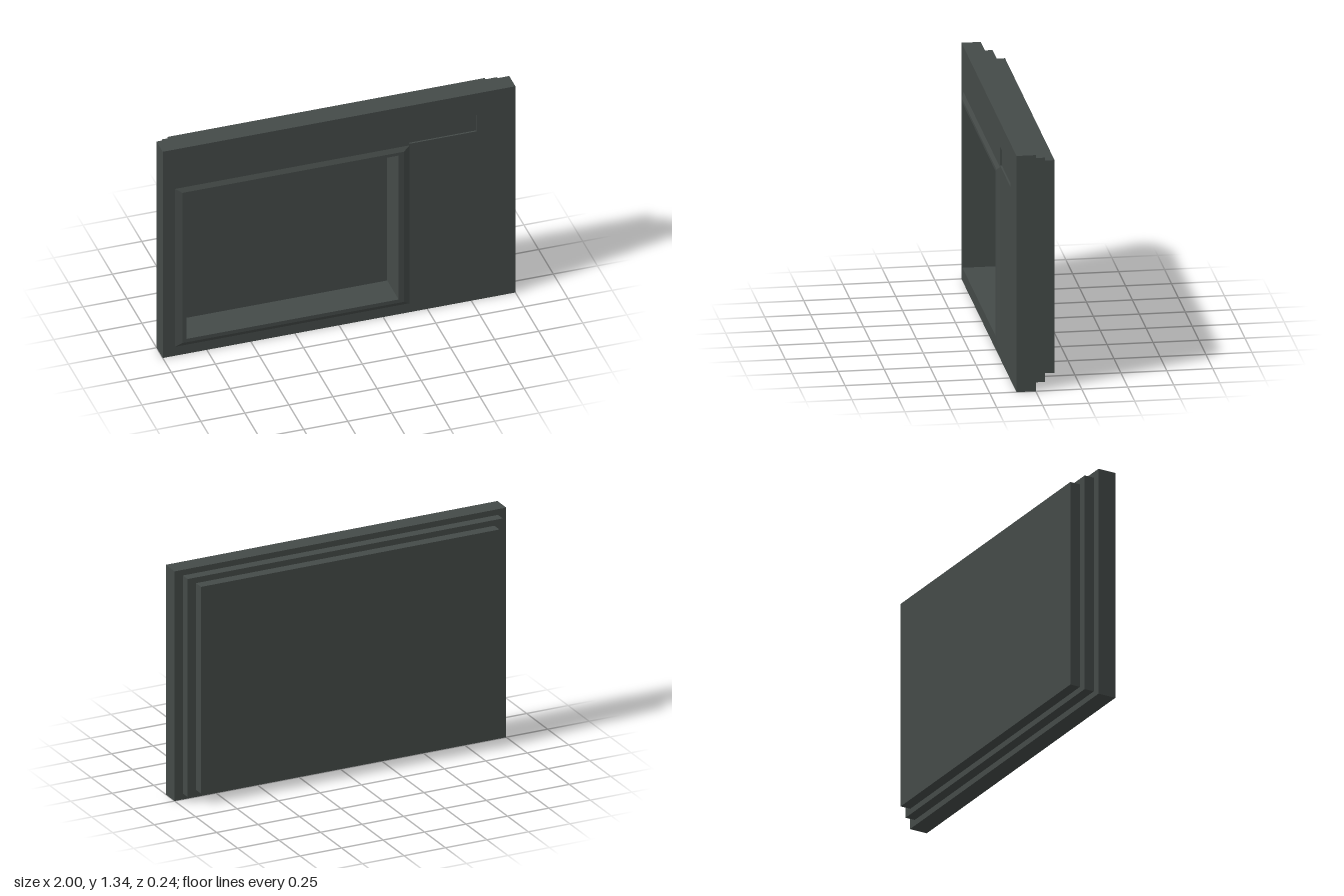
import * as THREE from 'three';

const housing = new THREE.MeshStandardMaterial({ color: 0x444a48 });
housing.name = 'dark grey housing';

// Rectangles as [x0, y0, x1, y1]
const OPENING = [-0.87, 0.105, 0.333, 1.037];
const SLOT = [0.4, 1.09, 0.78, 1.197];

const corners = ([x0, y0, x1, y1]) => [[x0, y0], [x1, y0], [x1, y1], [x0, y1]];

// Rectangular slab between z0 and z1, with rectangular holes
function slab(name, rect, z0, z1, holes = []) {
  const toPoints = (r) => corners(r).map(([x, y]) => new THREE.Vector2(x, y));
  const shape = new THREE.Shape(toPoints(rect));
  for (const h of holes) shape.holes.push(new THREE.Path(toPoints(h)));
  const geo = new THREE.ExtrudeGeometry(shape, { depth: z1 - z0, bevelEnabled: false });
  geo.translate(0, 0, z0);
  const mesh = new THREE.Mesh(geo, housing);
  mesh.name = name;
  return mesh;
}

// Strip of flat faces joining successive rectangular loops, outermost first
function loopStrip(name, loops) {
  const pos = [];
  for (let i = 0; i < loops.length - 1; i++) {
    const [a, b] = [loops[i], loops[i + 1]].map(({ rect, z }) => corners(rect).map(([x, y]) => [x, y, z]));
    for (let k = 0; k < 4; k++) {
      const n = (k + 1) % 4;
      pos.push(...a[k], ...a[n], ...b[n], ...a[k], ...b[n], ...b[k]);
    }
  }
  const geo = new THREE.BufferGeometry();
  geo.setAttribute('position', new THREE.Float32BufferAttribute(pos, 3));
  geo.computeVertexNormals();
  const mesh = new THREE.Mesh(geo, housing);
  mesh.name = name;
  return mesh;
}

export function createModel() {
  const model = new THREE.Group();
  model.name = 'displayPanel';

  model.add(
    // Front plate with the screen opening and the small label slot
    slab('frontPlate', [-1, 0, 1, 1.335], 0, 0.105, [OPENING, SLOT]),
    slab('slotFloor', SLOT, 0, 0.095),
    // Stepped rear housing
    slab('middleStep', [-0.95, 0.034, 0.95, 1.302], -0.057, 0, [OPENING]),
    slab('rearStep', [-0.9, 0.067, 0.9, 1.269], -0.075, -0.057, [OPENING]),
    slab('backPanel', [-0.9, 0.067, 0.9, 1.269], -0.117, -0.075),
    // Raised bezel with a sloped outer edge
    loopStrip('screenBezel', [
      { rect: [-0.93, 0.058, 0.4, 1.08], z: 0.105 },
      { rect: [-0.893, 0.083, 0.363, 1.055], z: 0.119 },
      { rect: OPENING, z: 0.119 },
      { rect: OPENING, z: 0.105 },
    ]),
  );
  return model;
}
